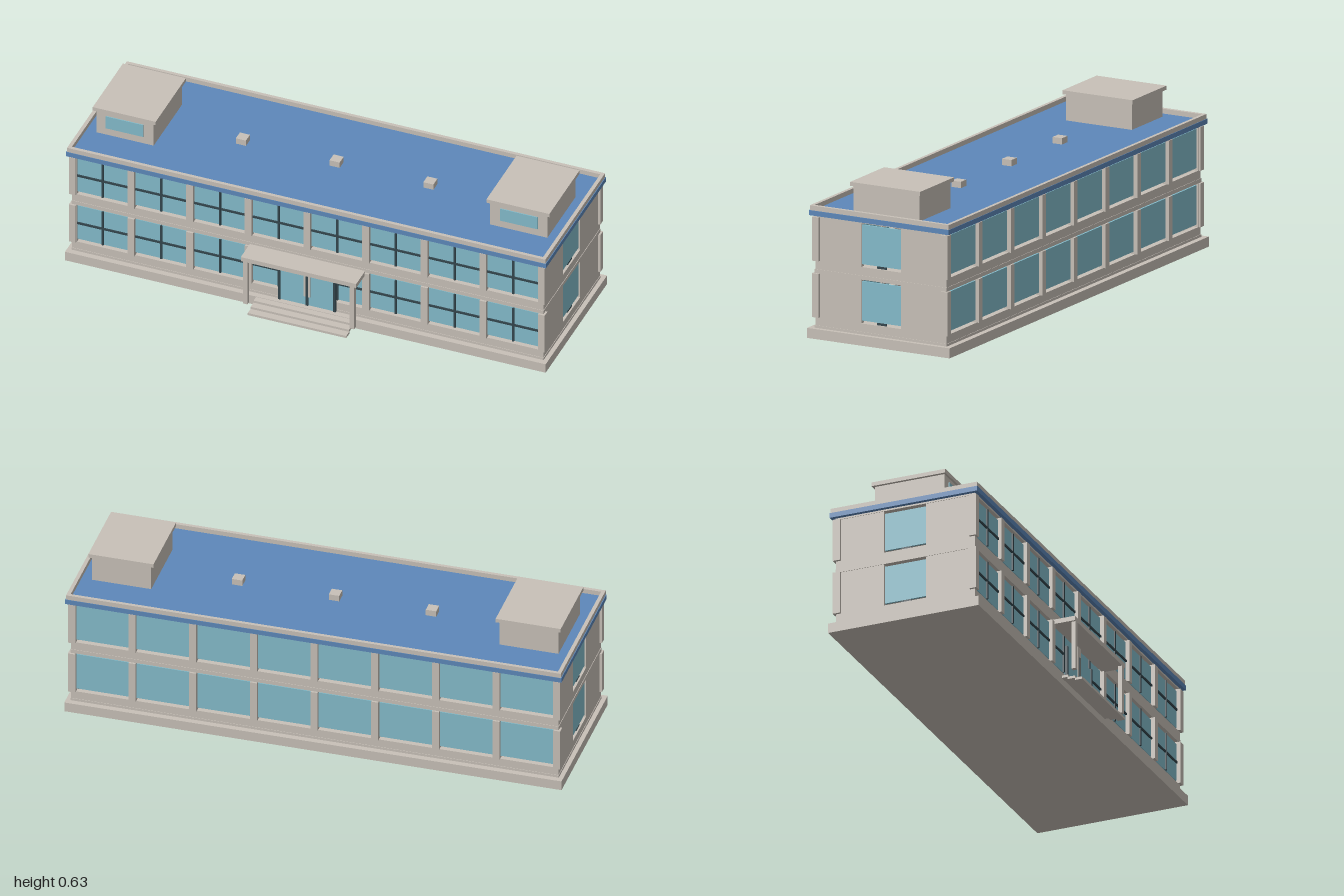
import * as THREE from 'three';

export function createModel() {
  const model = new THREE.Group();
  const mat = (name, color) => Object.assign(new THREE.MeshStandardMaterial({ color }), { name });
  const concrete = mat('concrete', 0xc8c1b8);
  const glass = mat('glass', 0x84bccb);
  const blue = mat('roof blue', 0x5d88ba);
  const dark = mat('dark frame', 0x34464d);

  // Box given by its limits on each axis
  const box = (name, m, [x0, x1], [y0, y1], [z0, z1], parent = model) => {
    const mesh = new THREE.Mesh(new THREE.BoxGeometry(x1 - x0, y1 - y0, z1 - z0), m);
    mesh.position.set((x0 + x1) / 2, (y0 + y1) / 2, (z0 + z1) / 2);
    mesh.name = name;
    parent.add(mesh);
    return mesh;
  };
  const group = (name) => {
    const g = new THREE.Group();
    g.name = name;
    model.add(g);
    return g;
  };
  const span = (c, w) => [c - w / 2, c + w / 2];
  const mirror = (s, a, b) => (s > 0 ? [a, b] : [-b, -a]);

  const BAY = 0.244, FRONT = 0.25, BACK = -0.335, END = 0.98;

  // Plinth and floor slabs
  box('plinth', concrete, [-1, 1], [0, 0.04], [-0.36, 0.275]);
  box('groundSlab', concrete, [-0.982, 0.982], [0.04, 0.05], [-0.337, 0.252]);
  box('middleSlab', concrete, [-0.982, 0.982], [0.258, 0.274], [-0.337, 0.252]);
  box('topBeam', concrete, [-0.982, 0.982], [0.483, 0.49], [-0.337, 0.252]);

  // Both storeys: sill = wall foot, low/high = window opening
  const storeys = [
    { name: 'lower', foot: 0.05, low: 0.083, high: 0.258 },
    { name: 'upper', foot: 0.274, low: 0.308, high: 0.483 },
  ];
  for (const { name, foot, low, high } of storeys) {
    const g = group(name + 'Storey');
    const paneY = [low + 0.01, high - 0.008];
    const middle = (low + high) / 2 - 0.001;

    // Long facades
    for (const front of [true, false]) {
      const face = front ? FRONT : BACK;
      const inward = front ? -1 : 1;
      const wallZ = [Math.min(face, face + inward * 0.02), Math.max(face, face + inward * 0.02)];
      box('spandrel', concrete, [-END, END], [foot, low], wallZ, g);
      for (let i = -4; i <= 4; i++) {
        box('pillar', concrete, span(i * BAY, 0.028), [low, high], span(face + inward * 0.005, 0.03), g);
      }
      for (let i = 0; i < 8; i++) {
        const x = (i - 3.5) * BAY;
        box('windowGlass', glass, span(x, BAY - 0.026), paneY, span(face + inward * 0.01, 0.008), g);
        if (front) {
          box('mullion', dark, span(x, 0.008), paneY, span(face - 0.004, 0.008), g);
          box('transom', dark, span(x, BAY - 0.026), span(middle, 0.008), span(face - 0.004, 0.007), g);
        }
      }
    }

    // End walls with one opening each
    for (const s of [-1, 1]) {
      const shape = new THREE.Shape();
      shape.moveTo(BACK, foot).lineTo(FRONT, foot).lineTo(FRONT, high).lineTo(BACK, high).closePath();
      const hole = new THREE.Path();
      hole.moveTo(-0.132, low).lineTo(-0.132, high).lineTo(0.045, high).lineTo(0.045, low).closePath();
      shape.holes.push(hole);
      const geo = new THREE.ExtrudeGeometry(shape, { depth: 0.02, bevelEnabled: false });
      geo.rotateY(-Math.PI / 2);
      const wall = new THREE.Mesh(geo, concrete);
      wall.name = 'endWall';
      wall.position.x = s > 0 ? END : -END + 0.02;
      g.add(wall);
      box('endGlass', glass, mirror(s, 0.966, 0.974), paneY, [-0.132, 0.045], g);
      box('endGlassFoot', dark, mirror(s, 0.967, 0.973), [low, paneY[0]], [-0.063, -0.02], g);
    }
  }

  // Roof slab and parapet
  box('roofSlab', blue, [-0.998, 0.998], [0.49, 0.51], [-0.355, 0.268]);
  box('parapetFront', concrete, [-0.995, 0.995], [0.51, 0.529], [0.252, 0.266]);
  box('parapetBack', concrete, [-0.995, 0.995], [0.51, 0.529], [-0.353, -0.339]);
  for (const s of [-1, 1]) {
    box('parapetEnd', concrete, mirror(s, 0.98, 0.995), [0.51, 0.529], [-0.339, 0.252]);

    // Rooftop house
    const house = group('rooftopHouse');
    box('houseWalls', concrete, mirror(s, 0.7, 0.938), [0.51, 0.616], [-0.19, 0.103], house);
    box('houseRoof', concrete, mirror(s, 0.688, 0.95), [0.616, 0.632], [-0.2, 0.112], house);
    box('houseWindow', glass, mirror(s, 0.742, 0.898), [0.542, 0.598], [0.1, 0.107], house);
  }
  for (const x of [-0.39, 0, 0.39]) {
    box('roofVent', concrete, span(x, 0.042), [0.51, 0.535], [-0.07, -0.028]);
  }

  // Entrance: steps, canopy on posts, glazed doors
  const entrance = group('entrance');
  for (let i = 0; i < 3; i++) {
    const z = 0.27 + i * 0.03, y = 0.028 - i * 0.0095;
    box('step', concrete, [-0.205, 0.205], [y, y + 0.01], [z, z + 0.031], entrance);
  }
  box('canopy', concrete, [-0.24, 0.24], [0.246, 0.265], [0.25, 0.346], entrance);
  for (const s of [-1, 1]) {
    box('canopyPost', concrete, span(s * 0.222, 0.018), [0.047, 0.246], [0.327, 0.345], entrance);
    box('doorGlass', glass, span(s * 0.058, 0.112), [0.042, 0.2], [0.247, 0.256], entrance);
  }
  for (const x of [-0.115, 0, 0.115]) {
    box('doorFrame', dark, span(x, 0.01), [0.042, 0.205], [0.25, 0.261], entrance);
  }

  return model;
}
